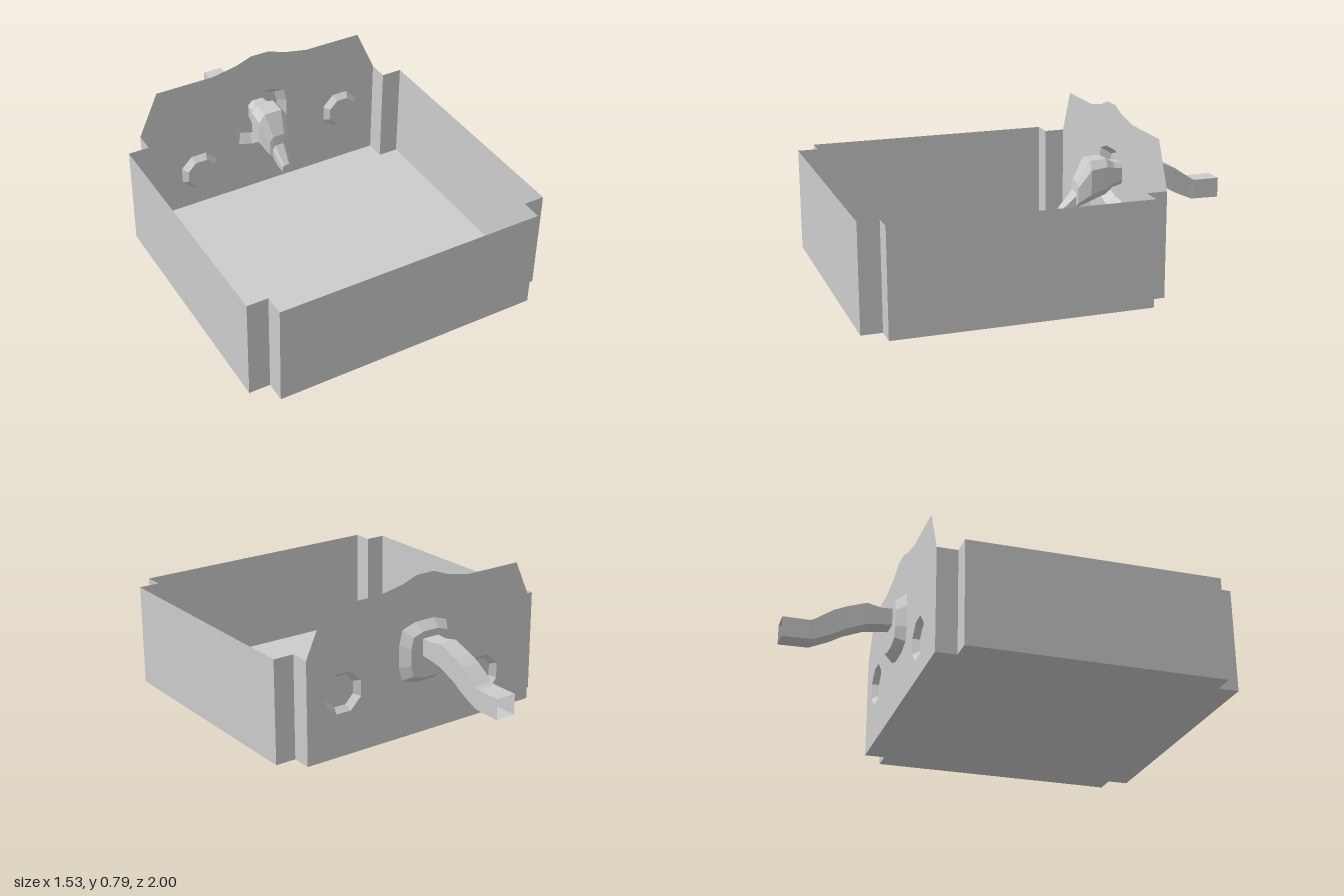
import * as THREE from 'three';

const metal = new THREE.MeshStandardMaterial({ color: 0xcccccc, flatShading: true, side: THREE.DoubleSide });
metal.name = 'grey';

// Joins equal-length cross-sections of [x, y, z] points into a surface
function loft(rows, { closed = true, capStart = false, capEnd = false } = {}) {
  const n = rows[0].length, index = [];
  const last = closed ? n : n - 1;
  for (let i = 0; i < rows.length - 1; i++) {
    for (let j = 0; j < last; j++) {
      const a = i * n + j, b = i * n + (j + 1) % n;
      index.push(a, b, b + n, a, b + n, a + n);
    }
  }
  const end = (rows.length - 1) * n;
  for (let j = 1; j < n - 1; j++) {
    if (capStart) index.push(0, j + 1, j);
    if (capEnd) index.push(end, end + j, end + j + 1);
  }
  const g = new THREE.BufferGeometry();
  g.setAttribute('position', new THREE.Float32BufferAttribute(rows.flat(2), 3));
  g.setIndex(index);
  const flat = g.toNonIndexed();
  flat.computeVertexNormals();
  return flat;
}

// Eight-sided ring for the dimples
const octagon = (cx, cy, r) => Array.from({ length: 8 }, (_, i) => {
  const a = (i + 0.5) * Math.PI / 4;
  return [cx + r * Math.cos(a), cy + r * Math.sin(a)];
});

// Rounded-square ring for the raised collar
function collarRing(cy, s) {
  const q = [[0.147, 0.055], [0.13, 0.125], [0.055, 0.15]];
  const half = [...q, ...q.map(([x, y]) => [-x, y]).reverse()];
  return [...half, ...half.map(([x, y]) => [-x, -y])].map(([x, y]) => [x * s, cy + y * s]);
}

// Chamfered rectangular ring
function chamferRing(hw, y0, y1, z) {
  const c = hw * 0.4, d = (y1 - y0) * 0.2;
  return [
    [hw, y0 + d, z], [hw, y1 - d, z], [hw - c, y1, z], [c - hw, y1, z],
    [-hw, y1 - d, z], [-hw, y0 + d, z], [c - hw, y0, z], [hw - c, y0, z],
  ];
}

const atZ = (ring, z) => ring.map(([x, y]) => [x, y, z]);
const vectors = (ring) => ring.map(([x, y]) => new THREE.Vector2(x, y));

export function createModel() {
  const group = new THREE.Group();
  const add = (name, geometry) => {
    const mesh = new THREE.Mesh(geometry, metal);
    mesh.name = name;
    group.add(mesh);
    return mesh;
  };

  const H = 0.51, BACK = -0.43;

  // Notched outline, running from one end of the back panel to the other
  const right = [[-0.66, BACK], [-0.66, -0.33], [-0.763, -0.33], [-0.763, 0.9], [-0.66, 0.9], [-0.66, 1]];
  const outline = [...right, ...right.map(([x, z]) => [-x, z]).reverse()];
  add('walls', loft(outline.map(([x, z]) => [[x, 0, z], [x, H, z]]), { closed: false }));

  // Floor
  const floor = new THREE.ShapeGeometry(new THREE.Shape(vectors(outline)));
  floor.rotateX(Math.PI / 2);
  add('floor', floor);

  // Back panel with its shaped top and three openings
  const dimples = [[0.46, 0.31], [-0.357, 0.2]];
  const edge = [[0.66, 0], [0.66, H], [0.56, 0.73], [0.26, 0.73], [0.13, 0.755], [0.05, 0.785]];
  const panel = new THREE.Shape(vectors([...edge, ...edge.map(([x, y]) => [-x, y]).reverse()]));
  panel.holes.push(new THREE.Path(vectors(collarRing(0.41, 1))));
  for (const [x, y] of dimples) panel.holes.push(new THREE.Path(vectors(octagon(x, y, 0.104))));
  add('backPanel', new THREE.ShapeGeometry(panel).translate(0, 0, BACK));

  // Dimples pressed inward
  for (const [x, y] of dimples) {
    add('dimple', loft([
      atZ(octagon(x, y, 0.104), BACK),
      atZ(octagon(x, y, 0.079), BACK + 0.03),
    ], { capEnd: true }));
  }

  // Collar pressed outward
  add('collar', loft([
    atZ(collarRing(0.41, 1), BACK),
    atZ(collarRing(0.41, 0.76), BACK - 0.046),
  ].reverse(), { capStart: true }));

  // Curved square pipe behind: z, bottom, top
  const pipe = [
    [-0.475, 0.405, 0.49], [-0.53, 0.4, 0.487], [-0.6, 0.39, 0.502], [-0.7, 0.35, 0.467],
    [-0.76, 0.315, 0.44], [-0.85, 0.275, 0.378], [-0.87, 0.273, 0.37], [-1, 0.27, 0.37],
  ];
  add('pipe', loft(pipe.map(([z, y0, y1], i) => {
    const hw = 0.044 + Math.min(i, 6) * 0.001;
    return [[hw, y0, z], [-hw, y0, z], [-hw, y1, z], [hw, y1, z]];
  })));

  // Spout inside: half width, bottom, top, z
  const spout = [
    [0.05, 0.38, 0.49, -0.475], [0.055, 0.37, 0.495, -0.43], [0.075, 0.34, 0.52, -0.385],
    [0.077, 0.31, 0.515, -0.3], [0.05, 0.28, 0.41, -0.242],
    [0.036, 0.27, 0.36, -0.235], [0.03, 0.245, 0.315, -0.195], [0.022, 0.235, 0.28, -0.16],
  ];
  add('spout', loft(spout.map((s) => chamferRing(...s)), { capEnd: true }));

  return group;
}
